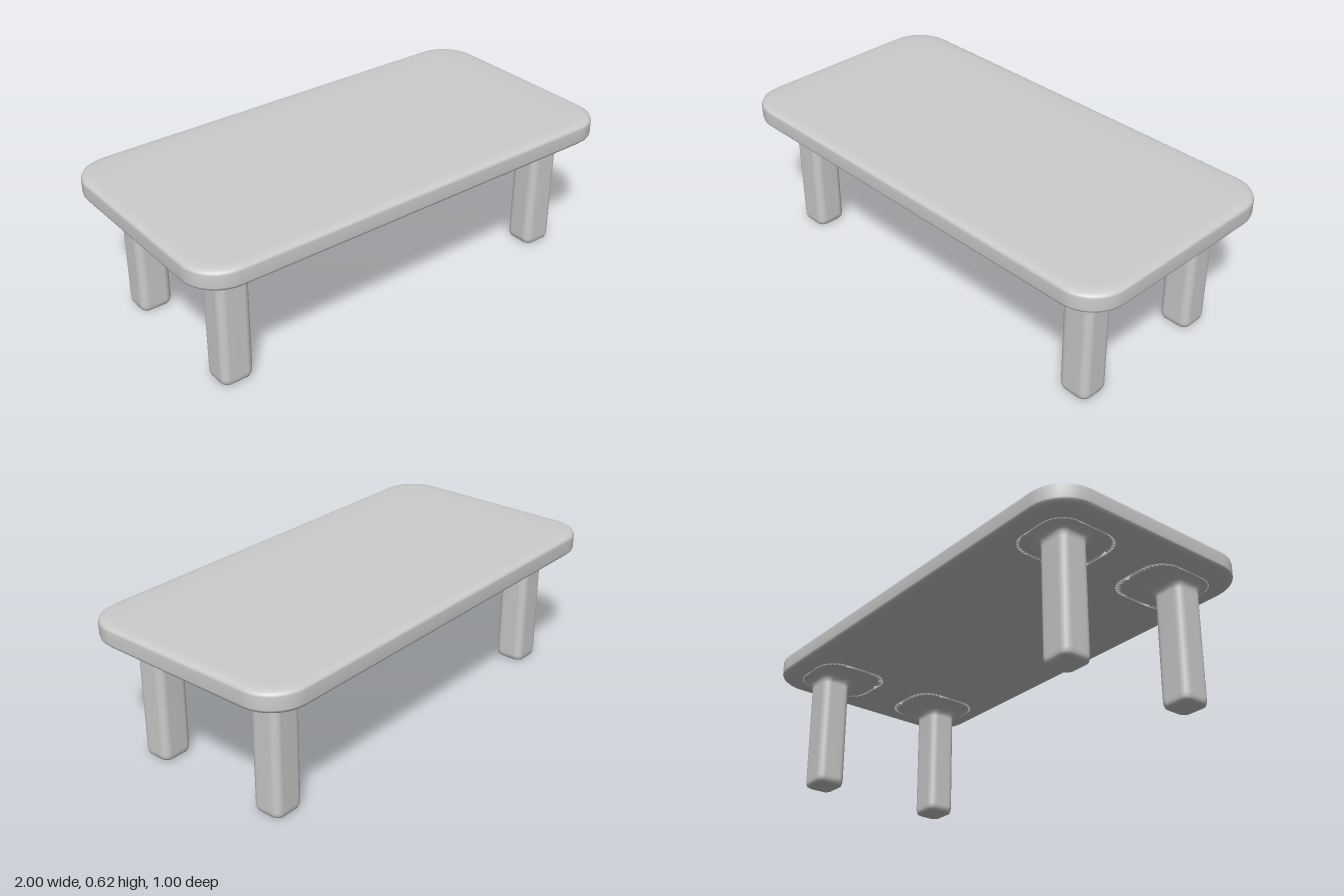
import * as THREE from 'three';

const material = new THREE.MeshStandardMaterial({ color: 0xcccccc });
const ARC = 8; // segments per rounded corner

// Lofts rounded rectangles, bottom to top, into a closed smooth solid.
// Each section is [y, xMin, xMax, zMin, zMax, cornerRadius].
function loft(sections) {
  const pos = [], index = [], n = 4 * (ARC + 1);
  for (const [y, x0, x1, z0, z1, r] of sections) {
    const corners = [[x1 - r, z1 - r], [x0 + r, z1 - r], [x0 + r, z0 + r], [x1 - r, z0 + r]];
    corners.forEach(([cx, cz], q) => {
      for (let k = 0; k <= ARC; k++) {
        const a = (q + k / ARC) * Math.PI / 2;
        pos.push(cx + r * Math.cos(a), y, cz + r * Math.sin(a));
      }
    });
  }
  const last = sections.length - 1;
  const capCentre = ([y, x0, x1, z0, z1]) => pos.push((x0 + x1) / 2, y, (z0 + z1) / 2);
  capCentre(sections[0]);
  capCentre(sections[last]);
  const bottom = n * (last + 1), top = bottom + 1;
  for (let i = 0; i < n; i++) {
    const j = (i + 1) % n;
    for (let s = 0; s < last; s++) {
      const a = s * n + i, b = s * n + j;
      index.push(a, a + n, b, b, a + n, b + n);
    }
    index.push(bottom, i, j, top, last * n + j, last * n + i);
  }
  const geometry = new THREE.BufferGeometry();
  geometry.setAttribute('position', new THREE.Float32BufferAttribute(pos, 3));
  geometry.setIndex(index);
  geometry.computeVertexNormals();
  return geometry;
}

function addPart(group, name, geometry) {
  const mesh = new THREE.Mesh(geometry, material);
  mesh.name = name;
  group.add(mesh);
}

export function createModel() {
  const group = new THREE.Group();
  group.name = 'lowTable';

  // Tabletop: softly rounded slab, [height, inset from the outline]
  const slab = [
    [0.525, 0.1], [0.526, 0.06], [0.529, 0.03], [0.534, 0.01], [0.542, 0.002], [0.55, 0],
    [0.6, 0], [0.609, 0.003], [0.615, 0.012], [0.619, 0.03], [0.62, 0.06], [0.62, 0.1],
  ];
  addPart(group, 'tabletop', loft(slab.map(([y, d]) =>
    [y, -1 + d, 1 - d, -0.5 + d, 0.5 - d, 0.155 - d * 0.6])));

  // Legs: rounded foot, straight shaft, flare that reaches further inwards
  // [height, inner x, outer x, inner z, outer z, corner radius]
  const leg = [
    [0.003, 0.755, 0.84, 0.26, 0.34, 0.02],
    [0.004, 0.743, 0.852, 0.248, 0.352, 0.025],
    [0.009, 0.734, 0.86, 0.239, 0.361, 0.03],
    [0.02, 0.728, 0.864, 0.236, 0.364, 0.032],
    [0.035, 0.726, 0.865, 0.235, 0.365, 0.032],
    [0.48, 0.726, 0.865, 0.235, 0.365, 0.032],
    [0.497, 0.722, 0.867, 0.23, 0.367, 0.034],
    [0.508, 0.713, 0.872, 0.219, 0.373, 0.04],
    [0.515, 0.698, 0.88, 0.197, 0.382, 0.05],
    [0.52, 0.67, 0.892, 0.16, 0.397, 0.07],
    [0.5235, 0.63, 0.905, 0.11, 0.415, 0.09],
    [0.527, 0.59, 0.915, 0.06, 0.425, 0.1],
  ];
  for (const sx of [-1, 1]) {
    for (const sz of [-1, 1]) {
      const span = (s, a, b) => (s > 0 ? [a, b] : [-b, -a]);
      const sections = leg.map(([y, xi, xo, zi, zo, r]) =>
        [y, ...span(sx, xi, xo), ...span(sz, zi, zo), r]);
      addPart(group, `${sz > 0 ? 'front' : 'back'}${sx > 0 ? 'Left' : 'Right'}Leg`, loft(sections));
    }
  }
  return group;
}
